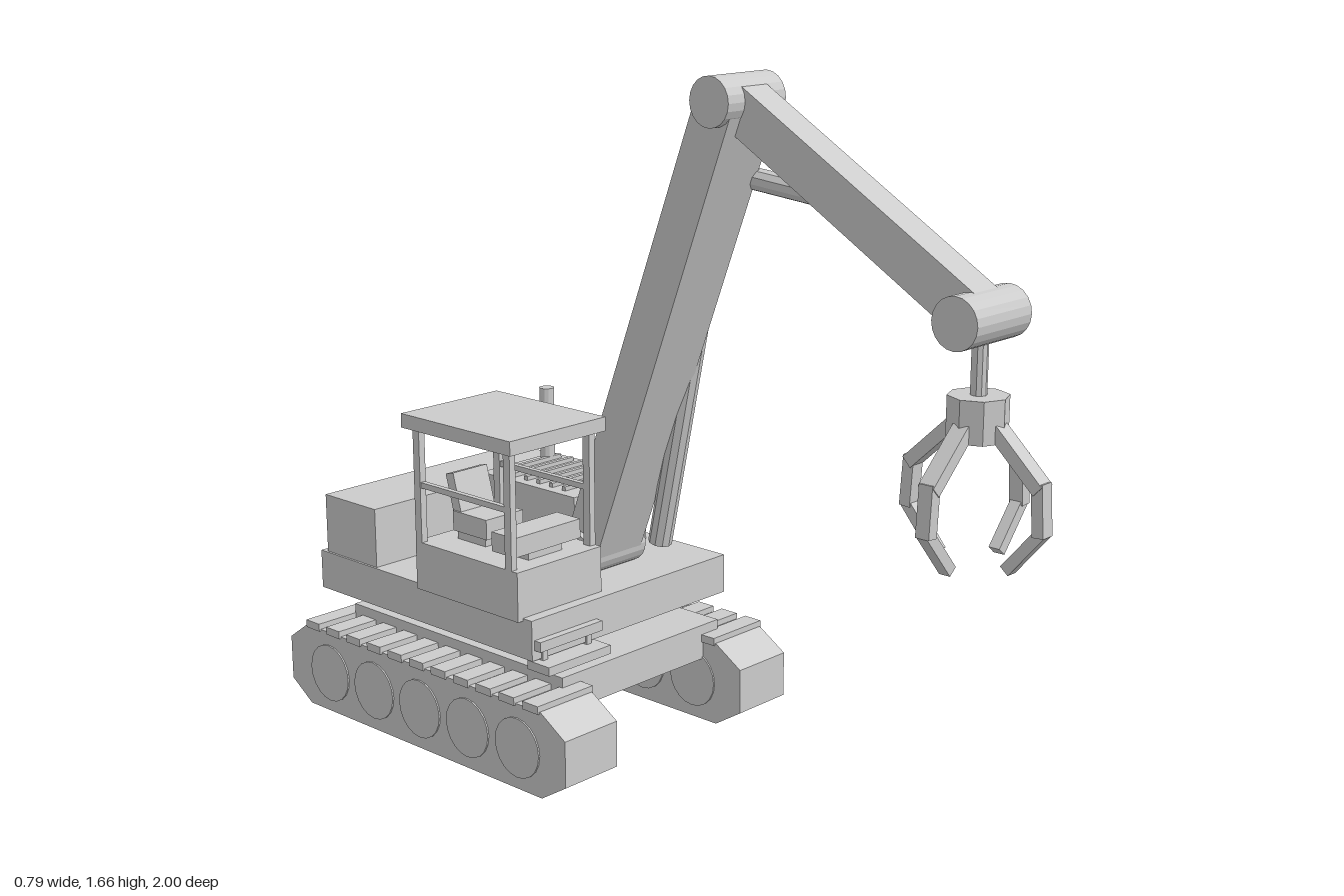
import * as THREE from 'three';

const material = new THREE.MeshStandardMaterial({ color: 0xcccccc, flatShading: true });

export function createModel() {
  const model = new THREE.Group();

  function add(name, geometry, parent = model) {
    const mesh = new THREE.Mesh(geometry, material);
    mesh.name = name;
    parent.add(mesh);
    return mesh;
  }
  // Box given by its limits on each axis
  function box(name, x0, x1, y0, y1, z0, z1, parent) {
    const mesh = add(name, new THREE.BoxGeometry(x1 - x0, y1 - y0, z1 - z0), parent);
    mesh.position.set((x0 + x1) / 2, (y0 + y1) / 2, (z0 + z1) / 2);
    return mesh;
  }
  // Lays a y-aligned geometry between two [z, y] points at a given x
  function span(name, x, a, b, makeGeometry, parent) {
    const dz = b[0] - a[0], dy = b[1] - a[1];
    const mesh = add(name, makeGeometry(Math.hypot(dz, dy)), parent);
    mesh.position.set(x, (a[1] + b[1]) / 2, (a[0] + b[0]) / 2);
    mesh.rotation.x = Math.atan2(dz, dy);
    return mesh;
  }
  const beam = (name, x, a, b, w, t, parent) =>
    span(name, x, a, b, (l) => new THREE.BoxGeometry(w, l, t), parent);
  const rod = (name, x, a, b, r, sides = 10, parent) =>
    span(name, x, a, b, (l) => new THREE.CylinderGeometry(r, r, l, sides), parent);
  // Cylinder lying along x
  function pin(name, x0, x1, y, z, r, sides = 20) {
    const mesh = add(name, new THREE.CylinderGeometry(r, r, x1 - x0, sides));
    mesh.rotation.z = Math.PI / 2;
    mesh.position.set((x0 + x1) / 2, y, z);
  }

  // Crawler tracks: chamfered block, shoe plates and road wheels
  const profile = [[0.02, 0.05], [0.02, 0.165], [-0.06, 0.215], [-0.93, 0.215],
    [-1, 0.165], [-1, 0.05], [-0.925, 0], [-0.06, 0]];
  const trackShape = new THREE.Shape(profile.map(([z, y]) => new THREE.Vector2(-z, y)));
  for (const side of [-1, 1]) {
    const track = add('track', new THREE.ExtrudeGeometry(trackShape, { depth: 0.17, bevelEnabled: false }));
    track.rotation.y = Math.PI / 2;
    track.position.x = side * 0.305 - 0.085;
    for (let i = 0; i < 11; i++) {
      const z = -0.09 - i * 0.081;
      box('trackShoe', side * 0.305 - 0.09, side * 0.305 + 0.09, 0.21, 0.23, z - 0.026, z + 0.026);
    }
    for (let i = 0; i < 5; i++) {
      pin('roadWheel', side * 0.305 - 0.089, side * 0.305 + 0.089, 0.105, -0.14 - i * 0.175, 0.075);
    }
  }

  // Undercarriage, slewing ring and deck
  box('undercarriage', -0.275, 0.275, 0.165, 0.255, -0.875, -0.105);
  rod('slewingRing', 0, [-0.49, 0.25], [-0.49, 0.31], 0.243, 20);
  box('deck', -0.338, 0.338, 0.305, 0.405, -0.925, -0.14);
  box('counterweight', -0.332, 0.332, 0.4, 0.557, -0.905, -0.71);

  // Engine cover with vents and exhaust
  box('engineCover', 0.04, 0.3, 0.4, 0.573, -0.725, -0.38);
  for (let i = 0; i < 6; i++) {
    const z = -0.677 + i * 0.0465;
    box('vent', 0.066, 0.278, 0.57, 0.584, z - 0.006, z + 0.006);
  }
  rod('exhaust', 0.246, [-0.69, 0.55], [-0.69, 0.77], 0.02, 12);

  // Open cab
  box('cabBase', -0.353, -0.077, 0.398, 0.52, -0.53, -0.17);
  box('cabRoof', -0.37, -0.06, 0.805, 0.84, -0.55, -0.168);
  for (const x of [-0.344, -0.086]) {
    for (const z of [-0.518, -0.2]) {
      box('cabPost', x - 0.009, x + 0.009, 0.51, 0.81, z - 0.011, z + 0.011);
    }
    box('cabRail', x - 0.007, x + 0.007, 0.658, 0.672, -0.51, -0.21);
  }
  box('seatPedestal', -0.27, -0.16, 0.515, 0.545, -0.47, -0.37);
  box('seatCushion', -0.275, -0.155, 0.54, 0.59, -0.48, -0.36);
  beam('seatBack', -0.215, [-0.465, 0.57], [-0.495, 0.68], 0.11, 0.028);
  box('consoleStand', -0.27, -0.16, 0.515, 0.545, -0.27, -0.22);
  box('console', -0.322, -0.107, 0.54, 0.588, -0.29, -0.21);

  // Entry steps
  box('upperStep', -0.33, -0.125, 0.33, 0.355, -0.17, -0.12);
  box('lowerStep', -0.33, -0.125, 0.278, 0.3, -0.165, -0.092);
  for (const x of [-0.3, -0.155]) {
    box('stepBracket', x - 0.008, x + 0.008, 0.285, 0.34, -0.155, -0.135);
  }

  // Boom, arm and their pivots
  const foot = [-0.3, 0.46], elbow = [0.14, 1.605], wrist = [0.815, 1.205];
  beam('boom', 0.058, foot, elbow, 0.16, 0.11);
  beam('arm', 0.058, elbow, wrist, 0.085, 0.105);
  for (const [z, y] of [foot, elbow, wrist]) pin('pivot', -0.04, 0.155, y, z, 0.058);

  // Hydraulic rams on the left side of the boom and arm
  rod('boomRam', 0.147, [-0.185, 0.475], [-0.065, 1.04], 0.03);
  rod('boomRamRod', 0.147, [-0.075, 1.01], [0.035, 1.345], 0.018);
  rod('armRam', 0.148, [0.083, 1.417], [0.425, 1.385], 0.027);
  rod('armRamRod', 0.148, [0.4, 1.39], [0.633, 1.305], 0.014);

  // Grapple: hanger, hub and four jointed claws
  const grapple = new THREE.Group();
  grapple.name = 'grapple';
  grapple.position.set(0.056, 0, 0.815);
  model.add(grapple);
  rod('hanger', 0, [0, 1.02], [0, 1.18], 0.018, 10, grapple);
  rod('hub', 0, [0, 0.945], [0, 1.04], 0.067, 8, grapple);
  for (let i = 0; i < 4; i++) {
    const claw = new THREE.Group();
    claw.name = 'claw';
    claw.rotation.y = i * Math.PI / 2;
    grapple.add(claw);
    beam('clawUpper', 0, [0.05, 0.975], [0.167, 0.865], 0.04, 0.03, claw);
    beam('clawMiddle', 0, [0.163, 0.88], [0.171, 0.765], 0.035, 0.028, claw);
    beam('clawTip', 0, [0.175, 0.775], [0.09, 0.675], 0.028, 0.026, claw);
  }
  return model;
}
